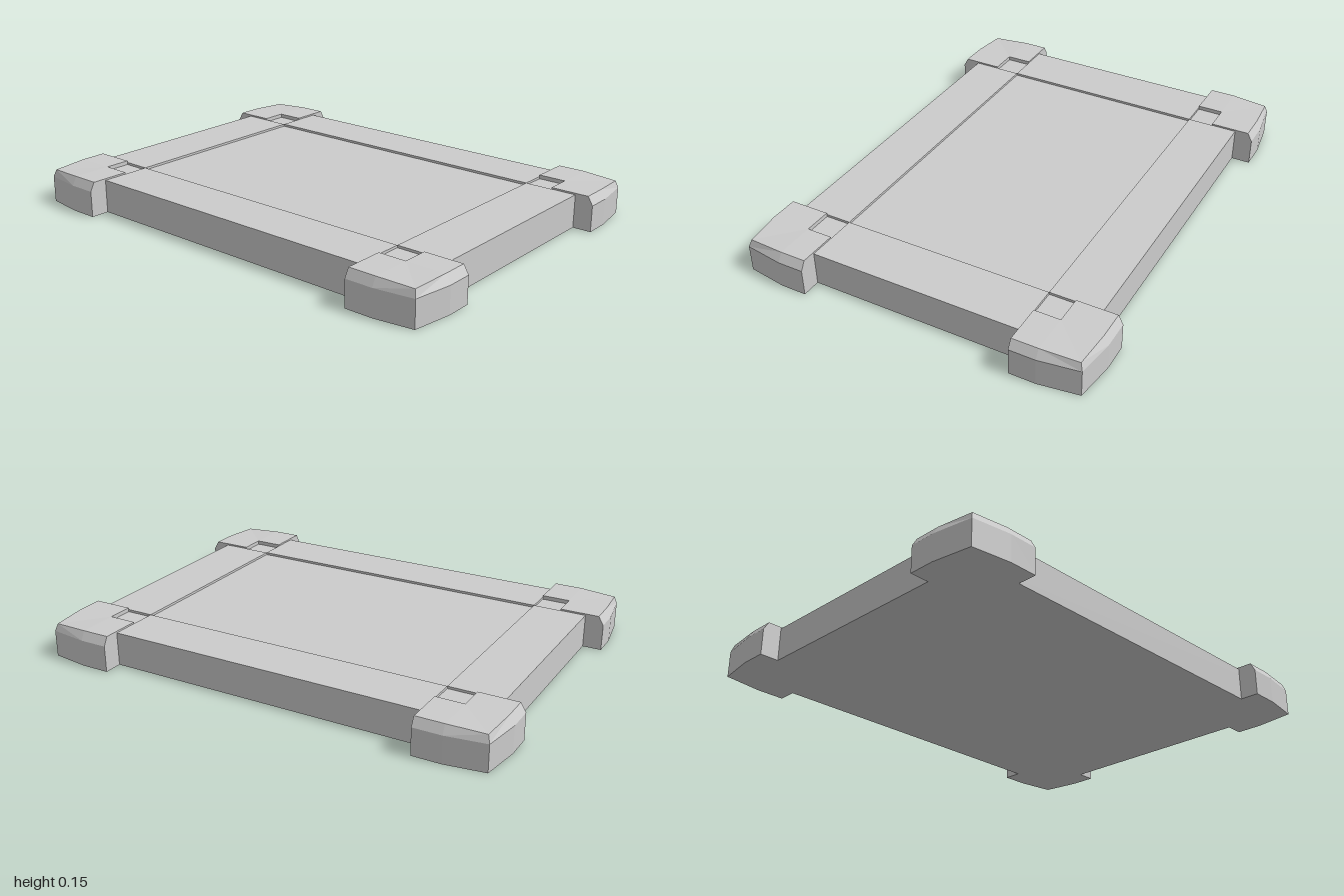
import * as THREE from 'three';

const FLOOR = 0.133, RIM = 0.143, BEVEL = 0.113, TOP = 0.15;
const material = new THREE.MeshStandardMaterial({ color: 0xcccccc, flatShading: true });

function addBox(group, name, x0, x1, y0, y1, z0, z1) {
  const mesh = new THREE.Mesh(new THREE.BoxGeometry(x1 - x0, y1 - y0, z1 - z0), material);
  mesh.position.set((x0 + x1) / 2, (y0 + y1) / 2, (z0 + z1) / 2);
  mesh.name = name;
  group.add(mesh);
}

// L-shaped corner cap with a bevelled outer edge; sx and sz choose the corner
function cornerGeometry(sx, sz) {
  const outline = [[0.56, 0.69], [0.75, 0.69], [0.75, 0.81], [0.727, 0.975],
    [0.56, 1], [0.45, 1], [0.45, 0.81], [0.56, 0.81]];
  const inset = [[0.56, 0.69], [0.73, 0.69], [0.73, 0.81], [0.717, 0.965],
    [0.56, 0.978], [0.45, 0.978], [0.45, 0.81], [0.56, 0.81]];
  const ring = (pts, y, cornerY = y) =>
    pts.map(([x, z], i) => [x * sx, i === 3 ? cornerY : y, z * sz]);
  const rings = [ring(outline, 0), ring(outline, BEVEL), ring(inset, TOP, 0.144)];
  const positions = [];
  const tri = (a, b, c) => positions.push(...(sx * sz > 0 ? [a, b, c] : [a, c, b]).flat());
  const quad = (a, b, c, d) => { tri(a, b, c); tri(a, c, d); };

  // walls and bevel
  for (let r = 0; r < 2; r++) {
    for (let i = 0; i < 8; i++) {
      const j = (i + 1) % 8;
      quad(rings[r][i], rings[r + 1][i], rings[r + 1][j], rings[r][j]);
    }
  }
  // underside and top, three patches around the notch
  for (const [a, b, c, d] of [[0, 1, 2, 7], [7, 2, 3, 4], [7, 4, 5, 6]]) {
    const [low, , high] = rings;
    quad(low[a], low[b], low[c], low[d]);
    tri(high[a], high[c], high[b]);
    tri(high[a], high[d], high[c]);
  }
  const geometry = new THREE.BufferGeometry();
  geometry.setAttribute('position', new THREE.Float32BufferAttribute(positions, 3));
  geometry.computeVertexNormals();
  return geometry;
}

export function createModel() {
  const group = new THREE.Group();
  group.name = 'framedPlatform';

  // slab whose top is the recessed centre panel and the notch floors
  addBox(group, 'baseSlab', -0.67, 0.67, 0, FLOOR, -0.92, 0.92);

  // raised rim around the panel
  addBox(group, 'leftRim', 0.45, 0.67, FLOOR, RIM, -0.69, 0.69);
  addBox(group, 'rightRim', -0.67, -0.45, FLOOR, RIM, -0.69, 0.69);
  addBox(group, 'frontRim', -0.45, 0.45, FLOOR, RIM, 0.69, 0.92);
  addBox(group, 'backRim', -0.45, 0.45, FLOOR, RIM, -0.92, -0.69);

  // corner caps
  for (const sx of [-1, 1]) {
    for (const sz of [-1, 1]) {
      const cap = new THREE.Mesh(cornerGeometry(sx, sz), material);
      cap.name = `${sz > 0 ? 'front' : 'back'}${sx > 0 ? 'Left' : 'Right'}Corner`;
      group.add(cap);
    }
  }
  return group;
}
